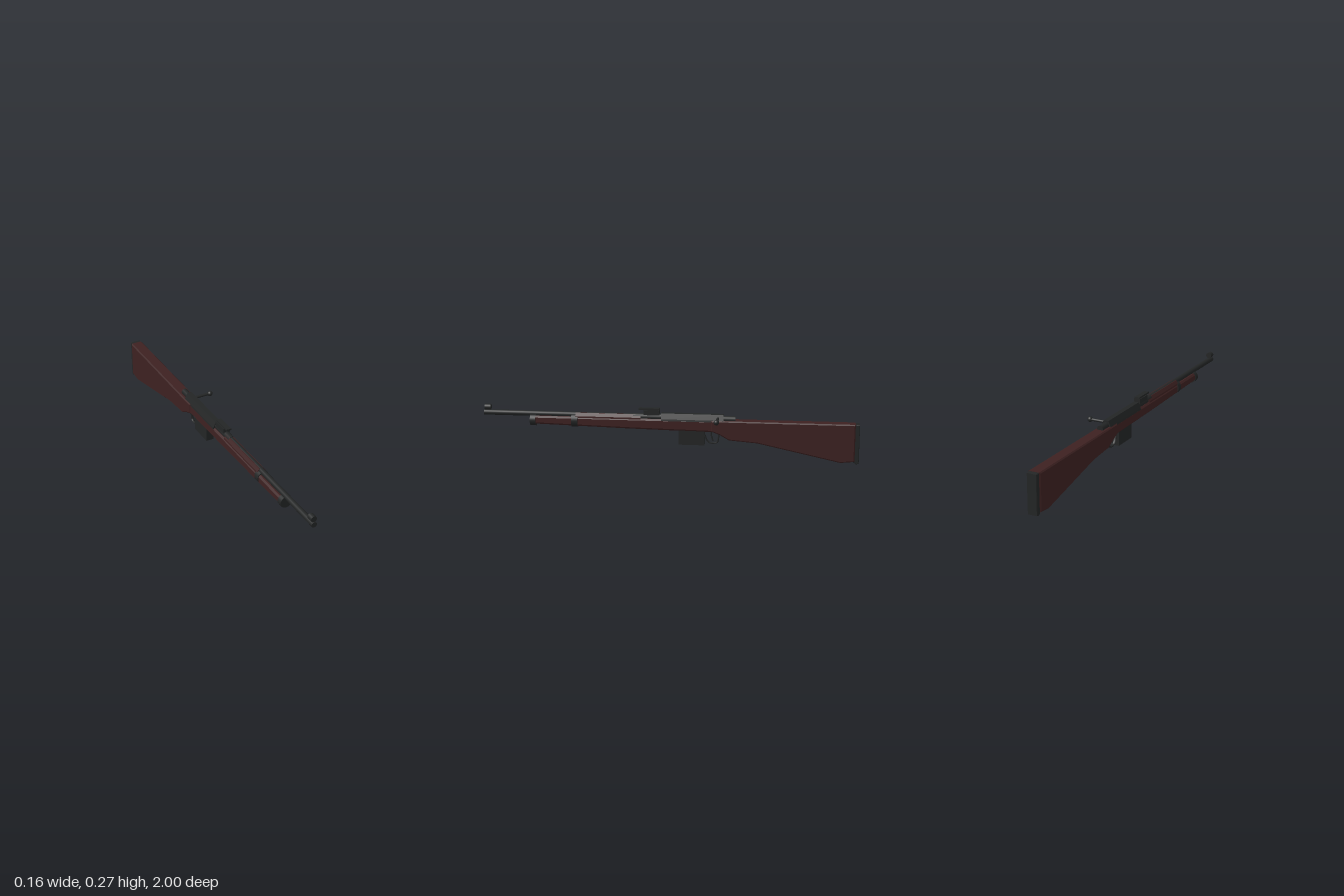
import * as THREE from 'three';

const X = -0.046; // centre line of the rifle

export function createModel() {
  const group = new THREE.Group();
  const wood = new THREE.MeshStandardMaterial({ color: 0x3d2121 });
  wood.name = 'dark red wood';
  const metal = new THREE.MeshStandardMaterial({ color: 0x232525 });
  metal.name = 'blackened metal';

  const add = (name, geometry, material, x = X, y = 0, z = 0) => {
    const mesh = new THREE.Mesh(geometry, material);
    mesh.name = name;
    mesh.position.set(x, y, z);
    group.add(mesh);
    return mesh;
  };

  // Side profile of [z, y] points, extruded across the width with bevelled edges
  const profile = (points, width, bevel) => {
    const shape = new THREE.Shape(points.map(([z, y]) => new THREE.Vector2(z, y)));
    const geo = new THREE.ExtrudeGeometry(shape, {
      depth: width - 2 * bevel, bevelEnabled: true, bevelSegments: 1,
      bevelSize: bevel, bevelThickness: bevel, bevelOffset: -bevel,
    });
    return geo.translate(0, 0, -(width - 2 * bevel) / 2).rotateY(-Math.PI / 2);
  };

  // Cross-section of [x, y] points, extruded from z0 to z1
  const section = (points, z0, z1) => {
    const shape = new THREE.Shape(points.map(([x, y]) => new THREE.Vector2(x, y)));
    return new THREE.ExtrudeGeometry(shape, { depth: z1 - z0, bevelEnabled: false }).translate(0, 0, z0);
  };

  // Round bar along z
  const rod = (r, z0, z1, sides = 20) =>
    new THREE.CylinderGeometry(r, r, z1 - z0, sides).rotateX(Math.PI / 2).translate(0, 0, (z0 + z1) / 2);

  const box = (name, w, y0, y1, z0, z1, material = metal) =>
    add(name, new THREE.BoxGeometry(w, y1 - y0, z1 - z0), material, X, (y0 + y1) / 2, (z0 + z1) / 2);

  // Wooden stock
  add('buttStock', profile([
    [-0.225, 0.213], [-0.978, 0.213], [-0.978, 0.014], [-0.905, 0.006],
    [-0.47, 0.098], [-0.32, 0.11], [-0.27, 0.138], [-0.225, 0.155],
  ], 0.066, 0.006), wood);
  add('foreStock', profile([
    [0.73, 0.213], [-0.235, 0.213], [-0.235, 0.15], [0.2, 0.157], [0.73, 0.17],
  ], 0.056, 0.009), wood);
  add('handguard', section([
    [-0.024, 0.2], [0.024, 0.2], [0.023, 0.217], [0.012, 0.234], [-0.012, 0.234], [-0.023, 0.217],
  ], 0.15, 0.5), wood);

  // Butt plate
  add('buttPlate', profile([
    [-0.97, 0.213], [-1, 0.21], [-1, 0.003], [-0.985, 0], [-0.97, 0.012],
  ], 0.054, 0.003), metal);

  // Barrel and front sight
  add('barrel', rod(0.0145, 0.1, 1), metal, X, 0.222);
  box('frontSightPost', 0.008, 0.23, 0.255, 0.968, 0.99);
  add('frontSightHood', rod(0.016, 0.963, 0.995), metal, X, 0.251);

  // Barrel bands
  add('frontBand', rod(0.0325, 0.716, 0.746, 28), metal, X, 0.188).scale.y = 0.97;
  add('middleBand', rod(0.033, 0.488, 0.522, 28), metal, X, 0.191).scale.y = 1.08;

  // Receiver, bolt and rear tang
  add('receiver', section([
    [-0.029, 0.205], [0.029, 0.205], [0.027, 0.214], [0.014, 0.243], [-0.014, 0.243], [-0.027, 0.214],
  ], -0.29, 0.04), metal);
  add('receiverRing', rod(0.0185, 0.03, 0.19), metal, X, 0.22);
  add('boltTail', rod(0.017, -0.352, -0.28), metal, X, 0.218);

  // Bolt handle
  const handle = new THREE.CylinderGeometry(0.0075, 0.0075, 0.095, 14).rotateZ(Math.PI / 2);
  add('boltHandle', handle, metal, 0.012, 0.224, -0.26);
  add('boltKnob', new THREE.SphereGeometry(0.0145, 20, 14), metal, 0.062, 0.224, -0.26);

  // Rear sight
  box('rearSightBase', 0.038, 0.232, 0.258, 0.05, 0.135);
  box('rearSightLeaf', 0.028, 0.258, 0.267, 0.05, 0.16);

  // Magazine
  box('magazine', 0.041, 0.077, 0.165, -0.19, -0.053);

  // Trigger guard and trigger
  const bar = (name, points, r) => add(name, new THREE.TubeGeometry(
    new THREE.CatmullRomCurve3(points.map(([z, y]) => new THREE.Vector3(0, y, z))), 24, r, 8), metal);
  bar('triggerGuard', [
    [-0.19, 0.132], [-0.2, 0.105], [-0.213, 0.09], [-0.235, 0.086], [-0.256, 0.092], [-0.263, 0.115], [-0.264, 0.145],
  ], 0.004).scale.x = 2;
  bar('trigger', [[-0.222, 0.16], [-0.226, 0.125], [-0.234, 0.098]], 0.004);

  return group;
}
